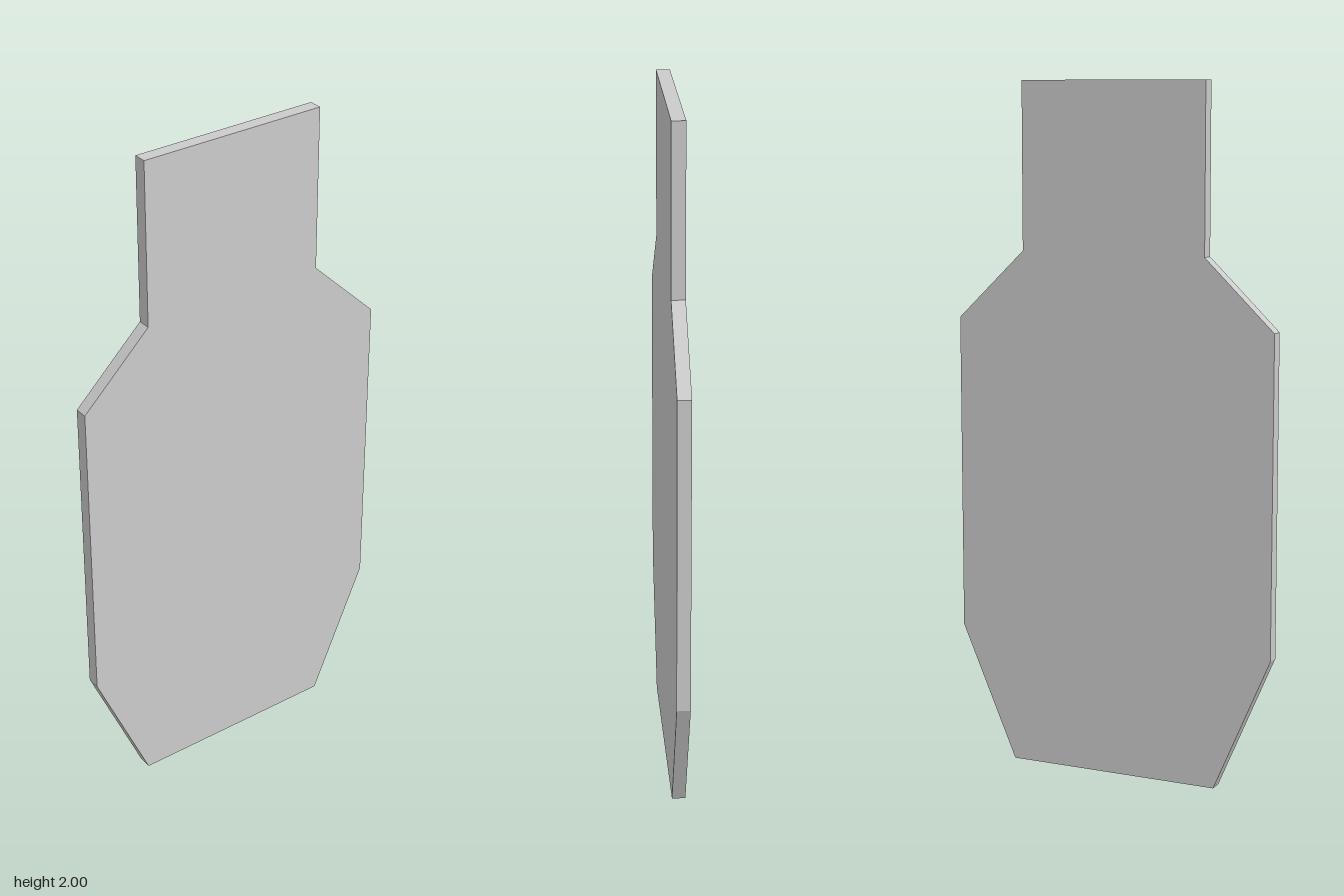
import * as THREE from 'three';

export function createModel() {
  const group = new THREE.Group();
  group.name = 'targetBoard';
  const thickness = 0.039;

  // Half outline as [half width, height]; mirrored to close the silhouette
  const half = [[0.32, 0], [0.49, 0.394], [0.49, 1.318], [0.282, 1.518], [0.282, 2]];
  const mirrored = half.map(([w, y]) => [-w, y]).reverse();
  const shape = new THREE.Shape([...half, ...mirrored].map(([w, y]) => new THREE.Vector2(w, y)));

  // Flat plate, turned so its broad faces look along x
  const geometry = new THREE.ExtrudeGeometry(shape, { depth: thickness, bevelEnabled: false });
  geometry.translate(0, 0, -thickness / 2);
  geometry.rotateY(Math.PI / 2);

  const plate = new THREE.Mesh(
    geometry,
    new THREE.MeshStandardMaterial({ color: 0xcccccc, flatShading: true })
  );
  plate.name = 'plate';
  group.add(plate);
  return group;
}
